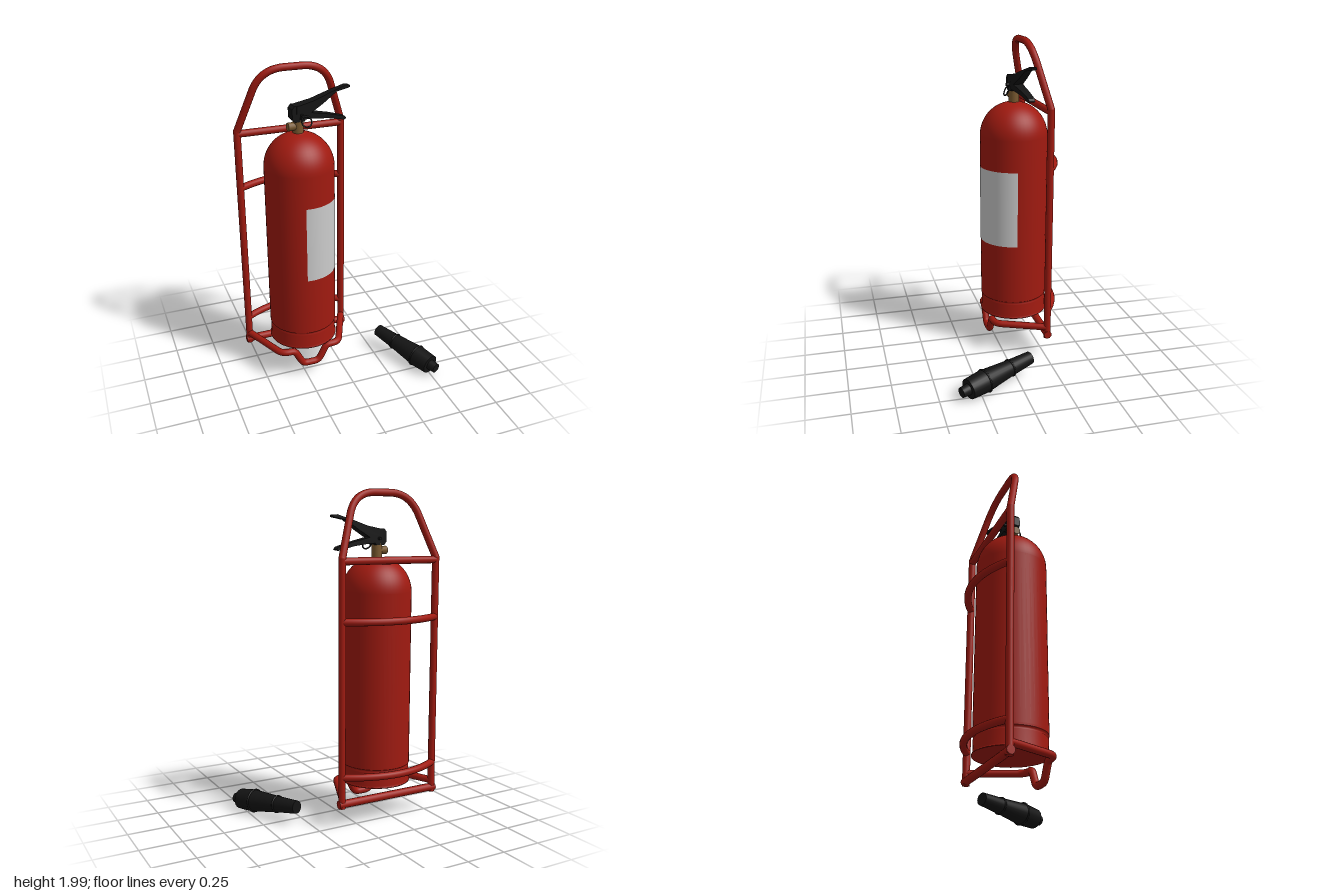
import * as THREE from 'three';

const material = (color) => new THREE.MeshStandardMaterial({ color });
const V = (x, y, z) => new THREE.Vector3(x, y, z);

export function createModel() {
  const model = new THREE.Group();
  const red = material(0xa01a10), black = material(0x141414), brass = material(0x7a5a30), grey = material(0xcccccc);
  grey.side = THREE.DoubleSide;

  const add = (name, geometry, mat, parent = model) => {
    const mesh = new THREE.Mesh(geometry, mat);
    mesh.name = name;
    parent.add(mesh);
    return mesh;
  };

  // Straight rod with closed ends between two points
  const rod = (name, a, b, r, mat = red, parent = model) => {
    const mesh = add(name, new THREE.CylinderGeometry(r, r, a.distanceTo(b), 16), mat, parent);
    mesh.position.copy(a).add(b).multiplyScalar(0.5);
    mesh.quaternion.setFromUnitVectors(V(0, 1, 0), b.clone().sub(a).normalize());
    return mesh;
  };

  // Bent pipe through corner points, each corner rounded over a given length
  const bentPipe = (name, pts, bends, r) => {
    const path = new THREE.CurvePath();
    let from = pts[0];
    for (let i = 1; i < pts.length - 1; i++) {
      const p = pts[i];
      const before = p.clone().add(pts[i - 1].clone().sub(p).setLength(bends[i - 1]));
      const after = p.clone().add(pts[i + 1].clone().sub(p).setLength(bends[i - 1]));
      path.add(new THREE.LineCurve3(from, before));
      path.add(new THREE.QuadraticBezierCurve3(before, p, after));
      from = after;
    }
    path.add(new THREE.LineCurve3(from, pts[pts.length - 1]));
    return add(name, new THREE.TubeGeometry(path, 120, r, 14), red);
  };

  // Carrying frame
  const cx = -0.216, half = 0.324, back = -0.265, pipe = 0.022;
  for (const s of [-1, 1]) {
    const x = cx + s * half;
    rod('framePost', V(x, 0.13, back), V(x, 1.6, back), pipe);
    add('postJoint', new THREE.SphereGeometry(pipe * 1.02, 16, 10), red).position.set(x, 1.6, back);
  }
  rod('upperCrossbar', V(cx - half, 1.585, back), V(cx + half, 1.585, back), pipe);
  rod('lowerCrossbar', V(cx - half - pipe, 0.155, back), V(cx + half + pipe, 0.155, back), 0.024);
  bentPipe('topHandleHoop', [
    V(cx - half, 1.6, back), V(cx - 0.192, 1.977, -0.172),
    V(cx + 0.192, 1.977, -0.172), V(cx + half, 1.6, back),
  ], [0.14, 0.14], pipe);

  // Bowed braces behind the tank
  for (const y of [0.32, 1.24]) {
    const bow = new THREE.QuadraticBezierCurve3(V(cx - half, y, back), V(cx, y, -0.47), V(cx + half, y, back));
    add('backBrace', new THREE.TubeGeometry(bow, 40, pipe, 14), red);
  }

  // Base support with the foot loop at the front
  const support = [[-half, 0.2, back], [-0.19, 0.2, 0.047], [-0.108, 0.2, 0.047], [-0.052, 0.092, 0.047]];
  const mirrored = support.map(([x, y, z]) => [-x, y, z]).reverse();
  bentPipe('baseSupport', [...support, ...mirrored].map(([x, y, z]) => V(cx + x, y, z)),
    [0.05, 0.025, 0.03, 0.03, 0.025, 0.05], pipe);

  // Tank with skirt, seam groove and domed shoulder
  const extinguisher = new THREE.Group();
  extinguisher.name = 'extinguisher';
  extinguisher.position.set(-0.21, 0, -0.123);
  model.add(extinguisher);
  const R = 0.211;
  const wall = [[0, 0.232], [0.2, 0.232], [0.2, 0.232], [0.214, 0.228], [0.214, 0.234], [0.208, 0.242], [0.207, 0.322],
    [0.203, 0.326], [0.203, 0.336], [R, 0.342], [R, 0.342], [R, 0.355], [R, 1.395]].map(([x, y]) => new THREE.Vector2(x, y));
  for (let i = 1; i <= 14; i++) {
    const a = (i / 14) * Math.PI * 0.46;
    wall.push(new THREE.Vector2(R * Math.cos(a), 1.395 + 0.21 * Math.sin(a)));
  }
  wall.push(new THREE.Vector2(0.026, 1.615), new THREE.Vector2(0, 1.615));
  add('tank', new THREE.LatheGeometry(wall, 48), red, extinguisher);
  const label = new THREE.CylinderGeometry(R + 0.002, R + 0.002, 0.48, 32, 1, true, -0.14, 1.58);
  add('label', label, grey, extinguisher).position.y = 0.96;

  // Valve, turned slightly with its levers
  const valve = new THREE.Group();
  valve.name = 'valve';
  valve.rotation.y = 0.1;
  extinguisher.add(valve);
  rod('valveStem', V(0, 1.6, 0), V(0, 1.69, 0), 0.032, brass, valve);
  rod('hosePort', V(-0.066, 1.642, 0), V(0, 1.642, 0), 0.025, brass, valve);

  // Flat side profile given thickness, narrowing toward the lever tip
  const profile = (name, pts, wide, narrow) => {
    const shape = new THREE.Shape(pts.map(([x, y]) => new THREE.Vector2(x, y)));
    const geo = new THREE.ExtrudeGeometry(shape, { depth: 1, bevelEnabled: false });
    const pos = geo.attributes.position;
    for (let i = 0; i < pos.count; i++) {
      const t = THREE.MathUtils.clamp((pos.getX(i) + 0.04) / 0.36, 0, 1);
      pos.setZ(i, (pos.getZ(i) - 0.5) * THREE.MathUtils.lerp(wide, narrow, t));
    }
    geo.computeVertexNormals();
    return add(name, geo, black, valve);
  };
  profile('valveBody', [[-0.03, 1.672], [0.03, 1.672], [0.045, 1.7], [0.04, 1.75], [0.015, 1.768],
    [-0.032, 1.768], [-0.048, 1.75], [-0.048, 1.692]], 0.064, 0.06);
  profile('upperLever', [[-0.02, 1.715], [0.05, 1.705], [0.15, 1.76], [0.24, 1.818], [0.328, 1.833],
    [0.328, 1.845], [0.3, 1.848], [0.2, 1.82], [0.09, 1.785], [-0.02, 1.765]], 0.074, 0.034);
  profile('lowerLever', [[0.0, 1.685], [0.07, 1.682], [0.18, 1.668], [0.29, 1.642], [0.304, 1.65],
    [0.292, 1.664], [0.2, 1.69], [0.1, 1.712], [0.0, 1.735]], 0.074, 0.036);

  // Safety pin and its ring
  rod('safetyPin', V(0.01, 1.71, -0.05), V(0.01, 1.71, 0.055), 0.009, black, valve);
  const ring = add('pinRing', new THREE.TorusGeometry(0.031, 0.0045, 8, 28), black, valve);
  ring.position.set(0.03, 1.677, 0.058);
  ring.rotation.x = -0.45;

  // Loose discharge nozzle lying beside the tank
  const start = V(0.32, 0.119, -0.09), end = V(0.525, 0.067, 0.375);
  const nozzle = new THREE.Group();
  nozzle.name = 'nozzle';
  nozzle.position.copy(start);
  nozzle.quaternion.setFromUnitVectors(V(0, 1, 0), end.clone().sub(start).normalize());
  model.add(nozzle);
  // Each section: start radius, end radius, start and end along the axis
  const sections = [['nozzleGrip', 0.039, 0.049, 0, 0.155], ['nozzleCone', 0.049, 0.067, 0.155, 0.343],
    ['nozzleHorn', 0.069, 0.062, 0.343, 0.462], ['nozzleTip', 0.034, 0.031, 0.462, 0.512]];
  for (const [name, r0, r1, y0, y1] of sections) {
    add(name, new THREE.CylinderGeometry(r1, r0, y1 - y0, 24), black, nozzle).position.y = (y0 + y1) / 2;
  }
  for (const [r, y] of [[0.049, 0.155], [0.068, 0.343]]) {
    const band = add('nozzleBand', new THREE.TorusGeometry(r, 0.006, 8, 28), black, nozzle);
    band.position.y = y;
    band.rotation.x = Math.PI / 2;
  }
  return model;
}
